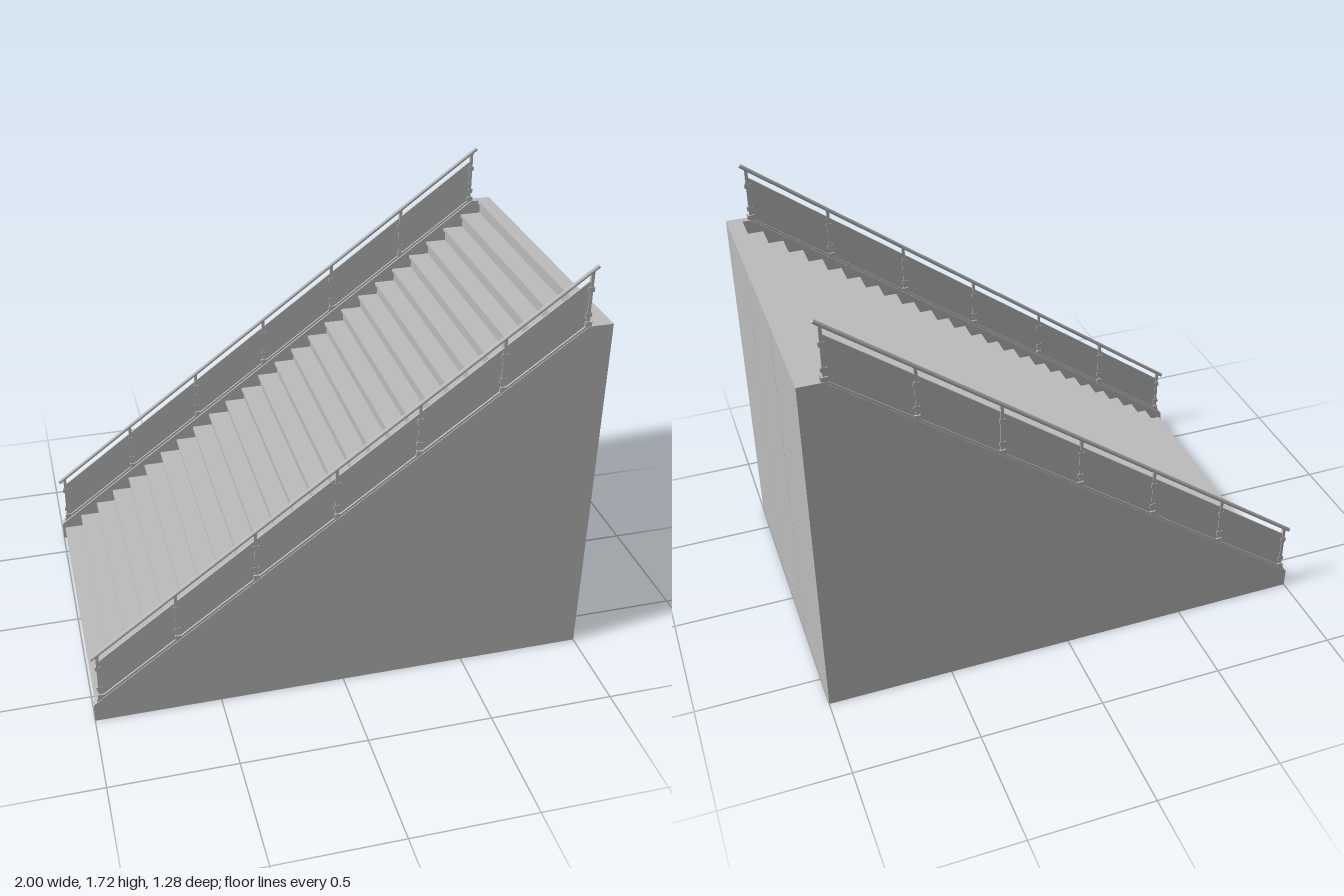
import * as THREE from 'three';

const STEPS = 26, RUN = 0.0771, RISE = 1.48 / 26, X0 = -0.99, HALF = 0.64;
const SLOPE = 1.4 / 1.905;
const slopeY = (x) => 0.078 + SLOPE * (x + 1); // top line of the side walls

export function createModel() {
  const group = new THREE.Group();
  const grey = new THREE.MeshStandardMaterial({ color: 0xbcbcbc });
  grey.name = 'plain grey';

  const add = (name, geometry, parent = group) => {
    const mesh = new THREE.Mesh(geometry, grey);
    mesh.name = name;
    parent.add(mesh);
    return mesh;
  };
  // Extrudes an x/y outline between two z values
  const slab = (name, points, z0, z1, parent) => {
    const shape = new THREE.Shape(points.map(([x, y]) => new THREE.Vector2(x, y)));
    const g = new THREE.ExtrudeGeometry(shape, { depth: z1 - z0, bevelEnabled: false });
    return add(name, g.translate(0, 0, z0), parent);
  };
  const box = (name, w, h, d, x, y, z, parent) =>
    add(name, new THREE.BoxGeometry(w, h, d).translate(x, y, z), parent);

  // Stair flight: folded plate with a small nosing on every tread
  const upper = [], lower = [];
  const nose = 0.01, thick = 0.012;
  for (let i = 0; i < STEPS; i++) {
    const x = X0 + i * RUN, y = i * RISE, top = y + RISE;
    upper.push([x + nose, y], [x + nose, top - thick], [x, top - thick], [x, top]);
    lower.push([x + nose + 0.008, Math.max(0, y - thick)], [x + nose + 0.008, top - thick]);
  }
  upper.push([1, 1.48]);
  lower.push([1, 1.48 - thick]);
  slab('stairFlight', [...upper, ...lower.reverse()], -HALF + 0.006, HALF - 0.006);

  // Back wall in three panels
  const panelW = (HALF * 2) / 3;
  for (let i = -1; i <= 1; i++) {
    box('backPanel', 0.008, 1.48, panelW - 0.002, 0.996, 0.74, i * panelW);
  }

  const topEnd = 0.905;
  const wallOutline = [[-1, 0], [1, 0], [1, 1.48], [topEnd, 1.48], [-1, slopeY(-1)]];
  const stringerOutline = [[-1, 0], ...upper, [topEnd, 1.48], [-1, slopeY(-1)]];
  const posts = [-0.97, -0.658, -0.347, -0.035, 0.277, 0.588, 0.9];
  const railY = (x) => 0.292 + 0.7396 * (x + 1);

  for (const side of [1, -1]) {
    const name = side > 0 ? 'left' : 'right';
    const between = (label, outline, a, b, parent) =>
      slab(label, outline, Math.min(a * side, b * side), Math.max(a * side, b * side), parent);

    // Side wall and the raised stringer beside the steps
    between(name + 'SideWall', wallOutline, HALF - 0.006, HALF);
    between(name + 'Stringer', stringerOutline, HALF - 0.03, HALF - 0.006);

    // Balustrade
    const rail = new THREE.Group();
    rail.name = name + 'Balustrade';
    group.add(rail);
    const z = side * 0.627;

    between('baseChannel', [[-0.985, slopeY(-0.985) - 0.004], [0.915, slopeY(0.915) - 0.004],
      [0.915, slopeY(0.915) + 0.012], [-0.985, slopeY(-0.985) + 0.012]], 0.617, 0.637, rail);

    posts.forEach((x, i) => {
      const y0 = slopeY(x) - 0.005, y1 = railY(x);
      box('post', 0.012, y1 - y0, 0.012, x, (y0 + y1) / 2, z, rail);
      box('postFoot', 0.022, 0.024, 0.022, x, slopeY(x) + 0.012, z, rail);
      // Clamps that hold the infill panels
      for (const h of [0.05, 0.15]) {
        box('clamp', 0.024, 0.018, 0.014, x, slopeY(x) + h, z, rail);
      }
      // Infill panel up to the next post
      if (i < posts.length - 1) {
        const a = x + 0.005, b = posts[i + 1] - 0.005;
        between('infillPanel', [[a, slopeY(a)], [b, slopeY(b)],
          [b, railY(b) - 0.035], [a, railY(a) - 0.035]], 0.624, 0.63, rail);
      }
    });

    // Sloping handrail
    const path = new THREE.LineCurve3(
      new THREE.Vector3(-0.995, railY(-0.995), z), new THREE.Vector3(0.922, railY(0.922), z));
    add('handrail', new THREE.TubeGeometry(path, 1, 0.008, 10, false), rail);
    for (const [x, turn] of [[-0.995, -1], [0.922, 1]]) {
      const cap = add('handrailCap', new THREE.CircleGeometry(0.008, 10), rail);
      cap.position.set(x, railY(x), z);
      cap.lookAt(x + turn, railY(x) + turn * 0.7396, z);
    }
  }
  return group;
}
